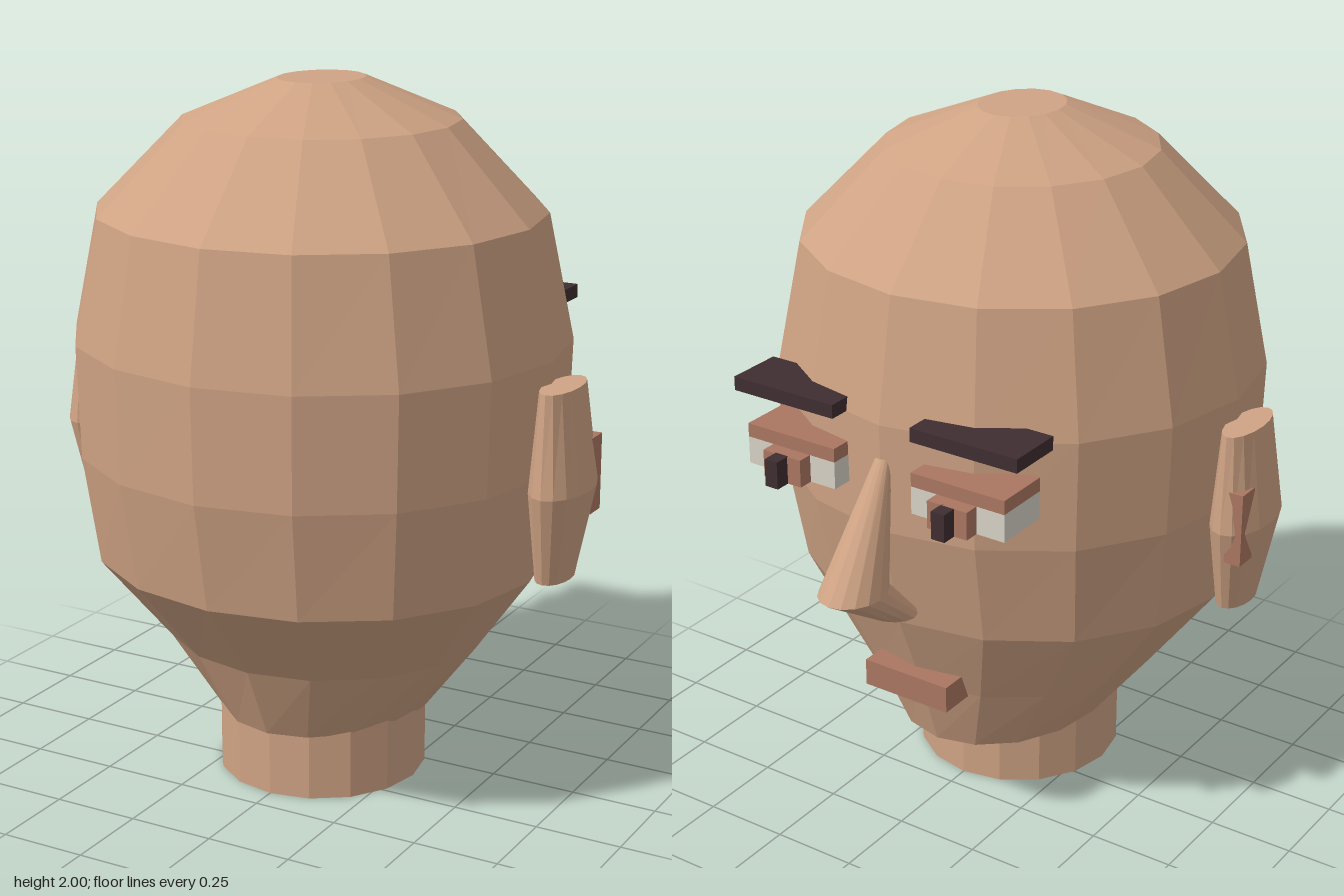
import * as THREE from 'three';

const mat = (name, color) => {
  const m = new THREE.MeshStandardMaterial({ color, flatShading: true });
  m.name = name;
  return m;
};

// Closed solid through elliptical rings [y, centreX, centreZ, radiusX, radiusZ], bottom to top
function loft(rings, sides) {
  const pos = [], index = [];
  for (const [y, cx, cz, rx, rz] of rings)
    for (let j = 0; j < sides; j++) {
      const a = (j / sides) * Math.PI * 2;
      pos.push(cx + rx * Math.sin(a), y, cz + rz * Math.cos(a));
    }
  for (let i = 0; i < rings.length - 1; i++)
    for (let j = 0; j < sides; j++) {
      const k = (j + 1) % sides;
      const a = i * sides + j, b = i * sides + k;
      index.push(a, b, b + sides, a, b + sides, a + sides);
    }
  const top = (rings.length - 1) * sides;
  for (let j = 1; j < sides - 1; j++) {
    index.push(0, j + 1, j);
    index.push(top, top + j, top + j + 1);
  }
  const indexed = new THREE.BufferGeometry();
  indexed.setAttribute('position', new THREE.Float32BufferAttribute(pos, 3));
  indexed.setIndex(index);
  const geo = indexed.toNonIndexed();
  geo.computeVertexNormals();
  return geo;
}

// Box given by its limits on each axis
function box([x0, x1], [y0, y1], [z0, z1]) {
  return new THREE.BoxGeometry(x1 - x0, y1 - y0, z1 - z0)
    .translate((x0 + x1) / 2, (y0 + y1) / 2, (z0 + z1) / 2);
}

export function createModel() {
  const model = new THREE.Group();
  model.name = 'head';
  const skin = mat('skin', 0xcfa384);
  const flesh = mat('darkSkin', 0xab7761);
  const white = mat('eyeWhite', 0xd8d4c8);
  const dark = mat('darkHair', 0x3f2e31);

  const add = (name, geo, material, parent = model) => {
    const mesh = new THREE.Mesh(geo, material);
    mesh.name = name;
    parent.add(mesh);
  };

  // Skull, from chin to crown
  add('skull', loft([
    [0.19, 0, 0.06, 0.30, 0.378],
    [0.41, 0, 0.075, 0.47, 0.465],
    [0.66, 0, 0.125, 0.655, 0.615],
    [0.97, 0, 0.12, 0.695, 0.675],
    [1.29, 0, 0.12, 0.705, 0.682],
    [1.64, 0, 0.122, 0.63, 0.622],
    [1.89, 0, 0.118, 0.385, 0.387],
    [2.0, 0, 0.118, 0.117, 0.138],
  ], 16), skin);

  add('neck', loft([
    [0, 0, 0.12, 0.3, 0.305],
    [0.36, 0, 0.12, 0.3, 0.305],
  ], 16), skin);

  // Nose, nostrils to bridge
  add('nose', loft([
    [0.73, 0, -0.548, 0.095, 0.068],
    [0.85, 0, -0.692, 0.09, 0.108],
    [1.19, 0, -0.545, 0.022, 0.02],
  ], 16), skin);

  add('mouth', box([-0.14, 0.14], [0.4, 0.48], [-0.466, -0.34]), flesh);

  // Paired features
  for (const [side, s] of [['left', 1], ['right', -1]]) {
    const span = (a, b) => (s > 0 ? [a, b] : [-b, -a]);

    const ear = new THREE.Group();
    ear.name = side + 'Ear';
    model.add(ear);
    add('earShell', loft([
      [0.69, s * 0.728, 0.12, 0.047, 0.085],
      [0.95, s * 0.745, 0.12, 0.08, 0.147],
      [1.23, s * 0.737, 0.118, 0.047, 0.117],
    ], 16), skin, ear);
    add('earHollow', box(span(0.75, 0.8), [0.86, 1.075], [-0.008, 0.06]), flesh, ear);

    const eye = new THREE.Group();
    eye.name = side + 'Eye';
    model.add(eye);
    add('eyeball', box(span(0.127, 0.423), [1.08, 1.16], [-0.596, -0.43]), white, eye);
    add('eyelid', box(span(0.127, 0.423), [1.16, 1.2], [-0.596, -0.43]), flesh, eye);
    add('iris', box(span(0.21, 0.336), [1.08, 1.16], [-0.64, -0.59]), flesh, eye);
    add('pupil', box(span(0.254, 0.296), [1.08, 1.16], [-0.684, -0.635]), dark, eye);

    add(side + 'Eyebrow', box(span(0.127, 0.463), [1.29, 1.33], [-0.598, -0.43]), dark);
  }

  return model;
}
